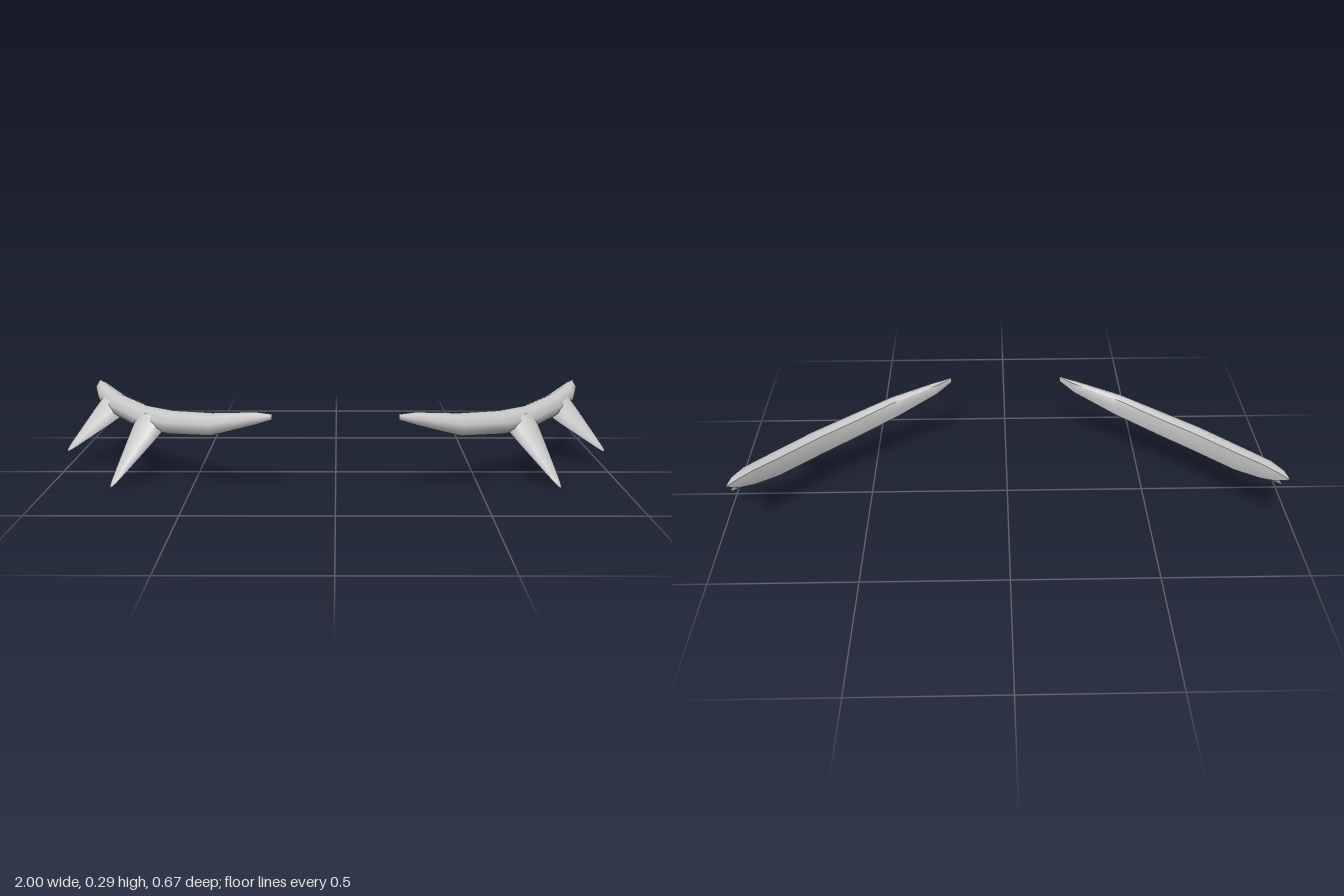
import * as THREE from 'three';
import { toCreasedNormals } from 'three/addons/utils/BufferGeometryUtils.js';

const V = (x, y, z) => new THREE.Vector3(x, y, z);

// Skin a closed surface over rings of points; side = -1 mirrors it in x
function loft(rings, side) {
  const n = rings[0].length, pos = [], idx = [];
  const put = p => pos.push(p.x * side, p.y, p.z);
  const tri = (a, b, c) => (side > 0 ? idx.push(a, b, c) : idx.push(a, c, b));
  rings.forEach(r => r.forEach(put));
  for (let k = 0; k < rings.length - 1; k++) {
    for (let i = 0; i < n; i++) {
      const j = (i + 1) % n, a = k * n, b = a + n;
      tri(a + i, a + j, b + j);
      tri(a + i, b + j, b + i);
    }
  }
  // close both ends with a fan
  const last = (rings.length - 1) * n, c = rings.length * n;
  for (const r of [rings[0], rings[rings.length - 1]]) {
    put(r.reduce((s, p) => s.add(p), V(0, 0, 0)).divideScalar(n));
  }
  for (let i = 0; i < n; i++) {
    const j = (i + 1) % n;
    tri(c, j, i);
    tri(c + 1, last + i, last + j);
  }
  const g = new THREE.BufferGeometry();
  g.setAttribute('position', new THREE.Float32BufferAttribute(pos, 3));
  g.setIndex(idx);
  return toCreasedNormals(g, 1.05);
}

// Lid band stations, inner tip to outer tip: x, z, half thickness, bottom, top
const BAND = [
  [0.209, 0.331, 0.004, 0.275, 0.294],
  [0.268, 0.297, 0.018, 0.25, 0.293],
  [0.422, 0.23, 0.029, 0.197, 0.274],
  [0.578, 0.12, 0.035, 0.176, 0.257],
  [0.69, 0.025, 0.036, 0.17, 0.254],
  [0.815, -0.125, 0.034, 0.183, 0.265],
  [0.882, -0.222, 0.031, 0.212, 0.278],
  [0.912, -0.285, 0.02, 0.24, 0.282],
  [0.926, -0.331, 0.004, 0.272, 0.279],
];

// Band cross-section: [up, outward], flat inside and below, bulging outside
const SECTION = [[1, -0.3], [0.75, 0.5], [0.1, 1], [-0.55, 0.88], [-1, 0.25], [-1, -0.8], [-0.1, -1], [0.78, -0.9]];

function bandGeometry(side) {
  const rings = BAND.map(([x, z, w, lo, hi], i) => {
    const p = BAND[Math.max(i - 1, 0)], q = BAND[Math.min(i + 1, BAND.length - 1)];
    const out = V(q[0] - p[0], 0, q[1] - p[1]).normalize().cross(V(0, 1, 0));
    return SECTION.map(([u, o]) => V(x, (lo + hi) / 2 + u * (hi - lo) / 2, z).addScaledVector(out, o * w));
  });
  return loft(rings, side);
}

// Lash profile from root to tip: distance, scale
const LASH = [[0, 1], [0.25, 0.8], [0.5, 0.57], [0.75, 0.34], [0.9, 0.19], [0.97, 0.1], [1, 0.02]];

// Cone swept from an egg-shaped root lying on the band (half axes u along it, v up it) to the tip
function lashGeometry(root, tip, u, v, side) {
  const rings = LASH.map(([t, r]) => Array.from({ length: 12 }, (_, i) => {
    const a = i / 12 * Math.PI * 2, s = Math.sin(a);
    return root.clone().lerp(tip, t)
      .addScaledVector(u, Math.cos(a) * (1 - 0.3 * s) * r).addScaledVector(v, s * r);
  }));
  return loft(rings, side);
}

export function createModel() {
  const model = new THREE.Group();
  model.name = 'eyelashes';
  const mat = new THREE.MeshStandardMaterial({ color: 0xcccccc });
  for (const side of [1, -1]) {
    const eye = new THREE.Group();
    eye.name = side > 0 ? 'leftEyelash' : 'rightEyelash';
    const add = (name, geometry) => {
      const m = new THREE.Mesh(geometry, mat);
      m.name = name;
      eye.add(m);
    };
    add('lidBand', bandGeometry(side));
    add('frontLash', lashGeometry(V(0.666, 0.204, 0.061), V(0.785, 0.001, 0.201),
      V(0.056, 0, -0.051), V(0.01, 0.034, 0.012), side));
    add('rearLash', lashGeometry(V(0.845, 0.217, -0.145), V(1, 0.061, -0.065),
      V(0.042, 0.014, -0.057), V(0.012, 0.031, 0.009), side));
    model.add(eye);
  }
  return model;
}
